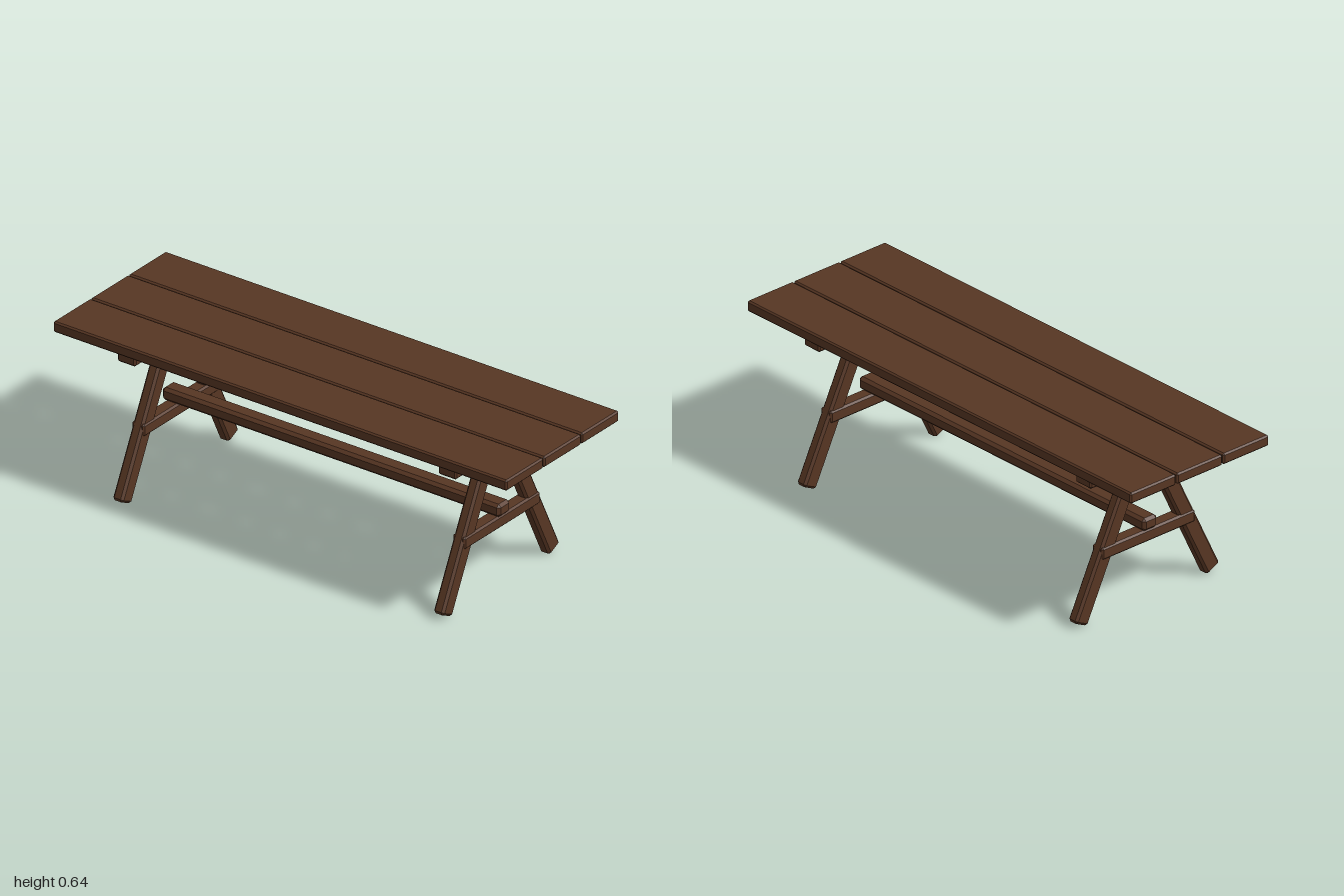
import * as THREE from 'three';
import { ConvexGeometry } from 'three/addons/geometries/ConvexGeometry.js';

// Box timber with bevelled edges: three points at each corner
function bevelledBox(w, h, d, b) {
  const points = [];
  for (const sx of [-1, 1]) for (const sy of [-1, 1]) for (const sz of [-1, 1]) {
    const x = w / 2, y = h / 2, z = d / 2;
    points.push(
      new THREE.Vector3(sx * x, sy * (y - b), sz * (z - b)),
      new THREE.Vector3(sx * (x - b), sy * y, sz * (z - b)),
      new THREE.Vector3(sx * (x - b), sy * (y - b), sz * z)
    );
  }
  return new ConvexGeometry(points);
}

export function createModel() {
  const table = new THREE.Group();
  table.name = 'picnicTable';
  const wood = new THREE.MeshStandardMaterial({ color: 0x573623 });
  wood.name = 'darkBrownWood';

  function beam(parent, name, size, position, bevel) {
    const mesh = new THREE.Mesh(bevelledBox(...size, bevel), wood);
    mesh.name = name;
    mesh.position.set(...position);
    parent.add(mesh);
    return mesh;
  }

  // Three tabletop planks with narrow gaps
  const names = ['backPlank', 'middlePlank', 'frontPlank'];
  names.forEach((name, i) => {
    beam(table, name, [2, 0.043, 0.218], [0, 0.627, (i - 1) * 0.222], 0.006);
  });

  // A-frame at each end
  for (const side of [-1, 1]) {
    const frame = new THREE.Group();
    frame.name = side > 0 ? 'leftFrame' : 'rightFrame';
    frame.position.x = side * 0.707;
    table.add(frame);

    beam(frame, 'topCleat', [0.08, 0.055, 0.582], [0, 0.5795, 0], 0.007);
    beam(frame, 'crossBrace', [0.056, 0.049, 0.446], [0, 0.2645, 0], 0.007);

    // Splayed legs, tilted inward toward the top
    for (const s of [-1, 1]) {
      const leg = beam(frame, s > 0 ? 'frontLeg' : 'backLeg',
        [0.046, 0.606, 0.066], [0, 0.2885, s * 0.184], 0.009);
      leg.rotation.x = -s * 0.452;
    }
  }

  // Long stretcher resting on the cross braces
  beam(table, 'stretcher', [1.49, 0.051, 0.068], [0, 0.315, 0], 0.011);

  return table;
}
